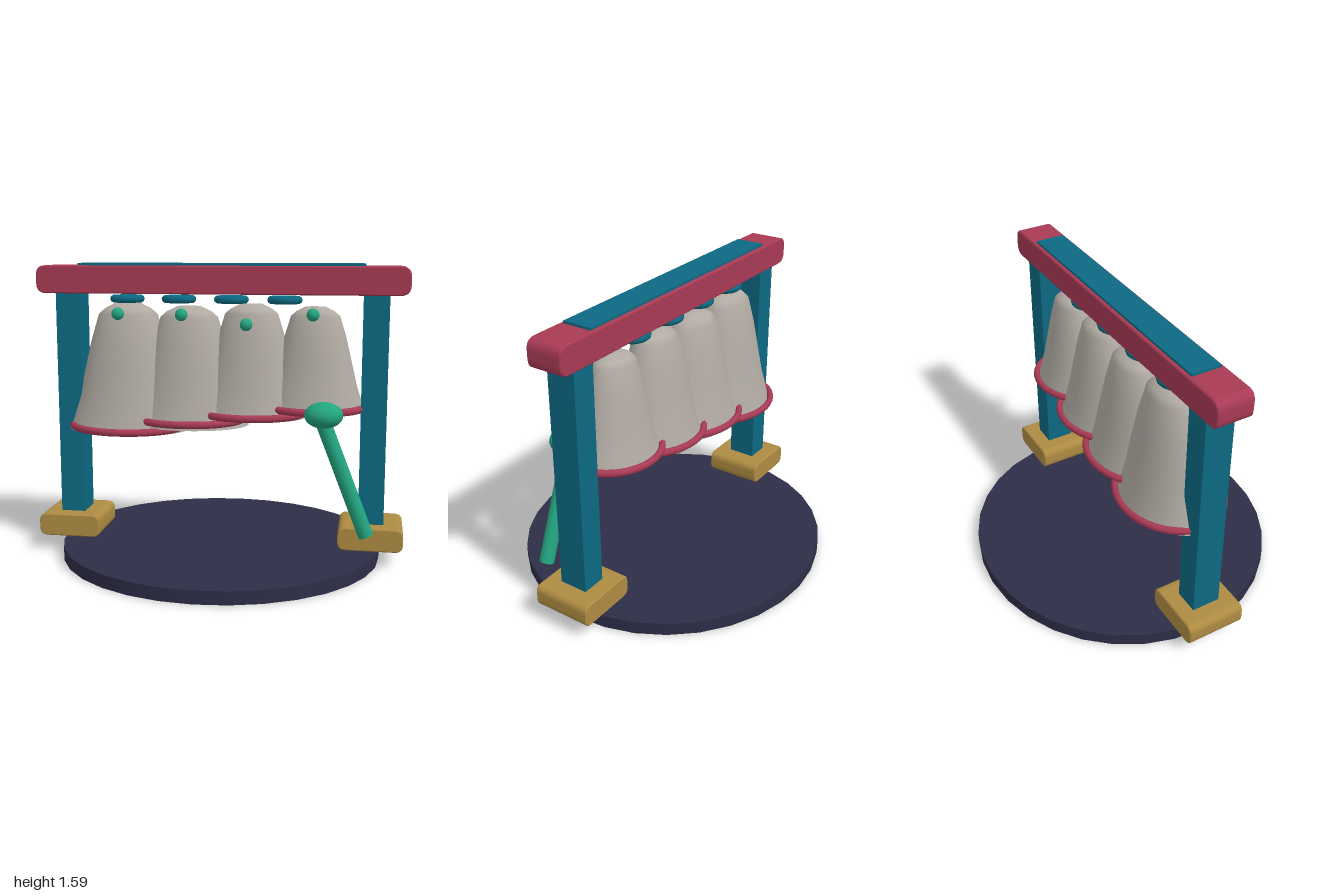
import * as THREE from 'three';

const mat = (name, color) => {
  const m = new THREE.MeshStandardMaterial({ color });
  m.name = name;
  return m;
};

export function createModel() {
  const group = new THREE.Group();
  const navy = mat('navy', 0x2d2d47);
  const blue = mat('blue', 0x0c6982);
  const red = mat('crimson', 0xa83a54);
  const gold = mat('ochre', 0xae8b42);
  const grey = mat('stone grey', 0xb0aaa2);
  const green = mat('green', 0x23a47f);

  const add = (name, geometry, material, x, y, z) => {
    const mesh = new THREE.Mesh(geometry, material);
    mesh.name = name;
    mesh.position.set(x, y, z);
    group.add(mesh);
    return mesh;
  };

  // Rounded bar: rounded outline in the front plane, extruded along z
  const roundedBar = (w, h, d, r) => {
    const x = w / 2, y = h / 2, b = 0.006;
    const s = new THREE.Shape();
    s.moveTo(-x + r, -y);
    s.lineTo(x - r, -y);
    s.quadraticCurveTo(x, -y, x, -y + r);
    s.lineTo(x, y - r);
    s.quadraticCurveTo(x, y, x - r, y);
    s.lineTo(-x + r, y);
    s.quadraticCurveTo(-x, y, -x, y - r);
    s.lineTo(-x, -y + r);
    s.quadraticCurveTo(-x, -y, -x + r, -y);
    const g = new THREE.ExtrudeGeometry(s, {
      depth: d - 2 * b, bevelEnabled: true, bevelSize: b, bevelThickness: b,
      bevelOffset: -b, bevelSegments: 1, curveSegments: 6,
    });
    return g.translate(0, 0, -d / 2 + b);
  };

  // Base disc, slightly oval
  add('base', new THREE.CylinderGeometry(1, 1, 0.07, 32), navy, 0, 0.035, 0).scale.set(0.875, 1, 0.825);

  // Frame
  for (const side of [-1, 1]) {
    add('post', new THREE.BoxGeometry(0.135, 1.4, 0.157), blue, side * 0.828, 0.78, 0);
    add('foot', roundedBar(0.345, 0.125, 0.325, 0.045), gold, side * 0.8275, 0.148, 0);
  }
  add('beam', roundedBar(2, 0.15, 0.197, 0.055), red, 0, 1.505, 0);
  add('beamTopPlate', new THREE.BoxGeometry(1.535, 0.03, 0.16), blue, 0, 1.577, 0);

  // Bells: centre x, bottom, top, mouth radius, rim height, rim radius, stud height
  const profile = [[1, 0], [0.95, 0.06], [0.825, 0.25], [0.73, 0.45], [0.61, 0.7], [0.48, 0.91], [0.38, 0.955], [0.2, 1], [0, 1]];
  const bells = [
    [-0.512, 0.685, 1.378, 0.34, 0.705, 0.316, 1.332],
    [-0.172, 0.72, 1.362, 0.327, 0.755, 0.302, 1.33],
    [0.168, 0.772, 1.378, 0.3, 0.795, 0.285, 1.283],
    [0.51, 0.815, 1.366, 0.272, 0.832, 0.256, 1.337],
  ];
  bells.forEach(([x, bottom, top, r, rimY, rimR, studY], i) => {
    const points = profile.map(([pr, py]) => new THREE.Vector2(pr * r, py * (top - bottom)));
    add('bell', new THREE.LatheGeometry(points, 32), grey, x, bottom, 0).scale.z = 0.72;

    const rim = new THREE.TorusGeometry(rimR, 0.02, 10, 48).rotateX(Math.PI / 2);
    add('bellRim', rim, red, x, rimY, 0).scale.z = 0.85;

    add('stud', new THREE.SphereGeometry(0.033, 16, 12), green, x, studY, 0.213);

    const hanger = new THREE.TorusGeometry(0.073, 0.021, 10, 28).rotateX(Math.PI / 2);
    add('hangerRing', hanger, blue, -0.515 + i * 0.287, 1.4, 0).scale.z = 0.9;
  });

  // Mallet leaning at the front
  add('malletHead', new THREE.SphereGeometry(1, 24, 16), green, 0.576, 0.832, 0.265).scale.set(0.1, 0.067, 0.093);
  const from = new THREE.Vector3(0.805, 0.203, 0.26);
  const to = new THREE.Vector3(0.568, 0.81, 0.26);
  const dir = to.clone().sub(from);
  const mid = from.clone().add(to).multiplyScalar(0.5);
  const handle = add('malletHandle', new THREE.CylinderGeometry(0.04, 0.04, dir.length(), 20), green, mid.x, mid.y, mid.z);
  handle.quaternion.setFromUnitVectors(new THREE.Vector3(0, 1, 0), dir.normalize());

  return group;
}
